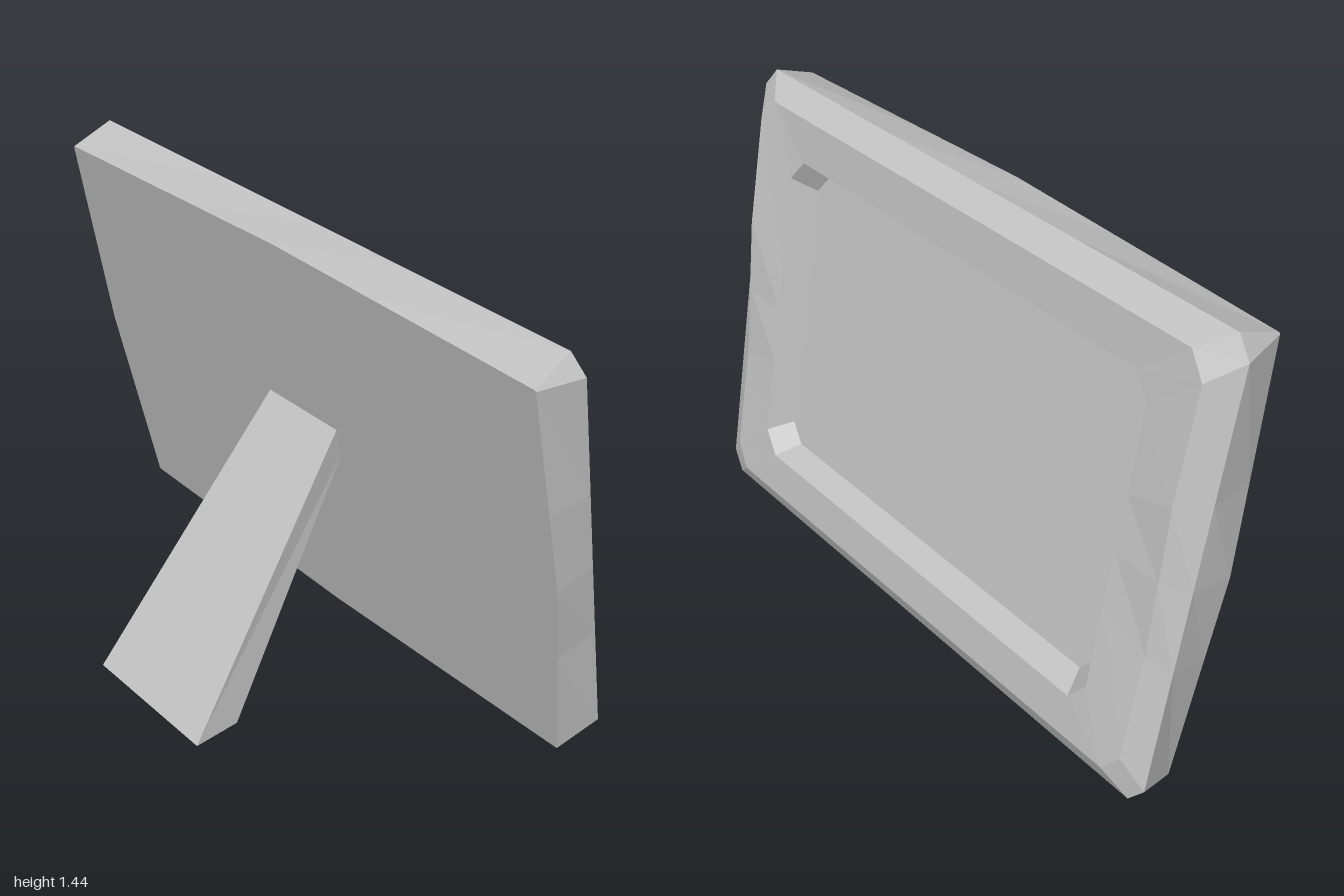
import * as THREE from 'three';

const grey = new THREE.MeshStandardMaterial({ color: 0xc0c0c0, flatShading: true });
grey.name = 'plain grey';

// Chamfered rectangle of 20 points, counter-clockwise; bulge pushes the middle of each side out
function ring(hw, hh, chamfer, depthAt, bulge = [0, 0]) {
  const steps = [-1, -0.4, 0, 0.4, 1];
  const points = [];
  const add = (x, y) => points.push(new THREE.Vector3(x, y, -depthAt(y)));
  const cx = hw - chamfer * 0.8, cy = hh - chamfer;
  const push = (t, amount) => amount * (1 - Math.abs(t));
  steps.forEach(t => add(hw + push(t, bulge[0]), t * cy));
  steps.forEach(t => add(-t * cx, hh + push(t, bulge[1])));
  steps.forEach(t => add(-hw - push(t, bulge[0]), -t * cy));
  steps.forEach(t => add(t * cx, -hh - push(t, bulge[1])));
  return points;
}

// Skin between successive rings
function loft(name, rings) {
  const pos = [];
  const tri = (...corners) => corners.forEach(p => pos.push(p.x, p.y, p.z));
  for (let r = 0; r + 1 < rings.length; r++) {
    const a = rings[r], b = rings[r + 1];
    for (let i = 0; i < a.length; i++) {
      const j = (i + 1) % a.length;
      tri(a[i], b[i], a[j]);
      tri(a[j], b[i], b[j]);
    }
  }
  return toMesh(name, pos);
}

// Flat fan closing a ring; side 1 faces -z, side -1 faces +z
function cap(name, points, side) {
  const pos = [];
  const z = points.reduce((sum, p) => sum + p.z, 0) / points.length;
  points.forEach((p, i) => {
    const q = points[(i + 1) % points.length];
    const [first, last] = side > 0 ? [p, q] : [q, p];
    pos.push(first.x, first.y, first.z, 0, 0, z, last.x, last.y, last.z);
  });
  return toMesh(name, pos);
}

function toMesh(name, pos) {
  const geometry = new THREE.BufferGeometry();
  geometry.setAttribute('position', new THREE.Float32BufferAttribute(pos, 3));
  geometry.computeVertexNormals();
  const mesh = new THREE.Mesh(geometry, grey);
  mesh.name = name;
  return mesh;
}

// Tapered leg leaning from the floor to the plate
function makeStand() {
  const geometry = new THREE.BoxGeometry(2, 1, 1);
  const p = geometry.attributes.position;
  for (let i = 0; i < p.count; i++) {
    const top = p.getY(i) > 0, upper = p.getZ(i) > 0;
    const x = p.getX(i) * (top ? 0.15 : 0.24);
    const y = top ? (upper ? 0.825 : 0.73) : 0.005;
    const z = top ? (upper ? -0.142 : -0.165) : (upper ? 0.48 : 0.325);
    p.setXYZ(i, x, y, z);
  }
  geometry.computeVertexNormals();
  const mesh = new THREE.Mesh(geometry, grey);
  mesh.name = 'stand';
  return mesh;
}

export function createModel() {
  const model = new THREE.Group();
  model.name = 'standingFrame';

  // Moulding: rear edge, widest line, uneven bevel, opening, panel edge
  const flat = d => () => d;
  const uneven = y => 0.192 + 0.018 * Math.sin(y * 4) * (Math.abs(y) < 0.5 ? 1 : 0.8);
  const rear = ring(0.965, 0.692, 0.004, flat(0), [0.035, 0.025]);
  const widest = ring(1.0, 0.718, 0.06, flat(0.142));
  const bevel = ring(0.925, 0.65, 0.07, uneven);
  const opening = ring(0.765, 0.512, 0.07, flat(0.19));
  const panelEdge = ring(0.72, 0.468, 0.06, flat(0.118));

  const frame = new THREE.Group();
  frame.name = 'tiltedFrame';
  frame.add(
    loft('outerSides', [rear, widest, bevel]),
    loft('frameBorder', [bevel, opening]),
    loft('innerWalls', [opening, panelEdge]),
    cap('picturePanel', panelEdge, 1),
    cap('backPlate', rear, -1)
  );
  frame.position.set(0, 0.7125, -0.165);
  frame.rotation.x = 0.204;

  model.add(frame, makeStand());
  return model;
}
